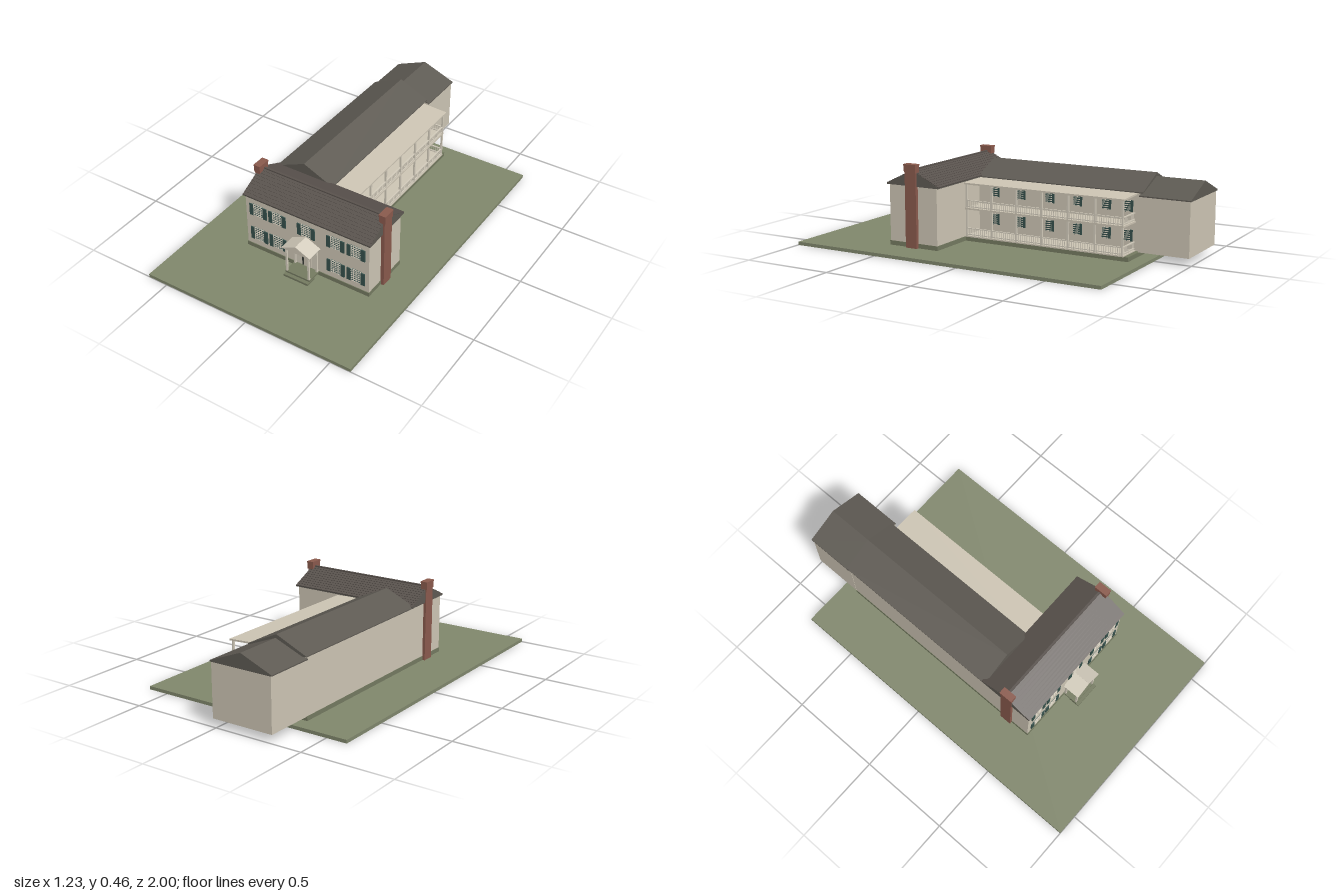
import * as THREE from 'three';
import { mergeGeometries } from 'three/addons/utils/BufferGeometryUtils.js';

const paint = (name, color) => {
  const m = new THREE.MeshStandardMaterial({ color });
  m.name = name;
  return m;
};

export function createModel() {
  const root = new THREE.Group();
  root.name = 'house';
  const lawn = paint('lawn green', 0x80876c);
  const base = paint('foundation green', 0x747a60);
  const cream = paint('cream', 0xcdc5b4);
  const trim = paint('trim cream', 0xd3ccbc);
  const slate = paint('roof slate', 0x5e5a53);
  const shingle = paint('shingle brown grey', 0x59524d);
  const brick = paint('brick', 0x8a5a4d);
  const teal = paint('shutter teal', 0x35504b);
  const glass = paint('window glass', 0x44605c);
  const dark = paint('door shadow', 0x3a3d38);

  const add = (name, geo, mat, parent = root) => {
    const m = new THREE.Mesh(geo, mat);
    m.name = name;
    parent.add(m);
    return m;
  };
  // Box given by its limits on each axis
  const box = (x0, x1, y0, y1, z0, z1) =>
    new THREE.BoxGeometry(x1 - x0, y1 - y0, z1 - z0)
      .translate((x0 + x1) / 2, (y0 + y1) / 2, (z0 + z1) / 2);
  const addBoxes = (name, mat, list, parent) =>
    add(name, mergeGeometries(list.map(b => box(...b))), mat, parent);
  // Gabled prism running along z, with a thin straight eave
  const prism = (x0, x1, ridgeX, y0, eave, ridge, z0, z1) => {
    const s = new THREE.Shape([[x0, y0], [x1, y0], [x1, eave], [ridgeX, ridge], [x0, eave]]
      .map(p => new THREE.Vector2(...p)));
    return new THREE.ExtrudeGeometry(s, { depth: z1 - z0, bevelEnabled: false }).translate(0, 0, z0);
  };

  add('ground', box(-0.615, 0.615, 0, 0.018, -0.8, 1), lawn);

  // Main house
  add('mainFoundation', box(-0.332, 0.422, 0.016, 0.042, 0.234, 0.534), base);
  add('mainWalls', box(-0.33, 0.42, 0.042, 0.35, 0.236, 0.53), cream);
  add('mainRoof', prism(-0.16, 0.16, 0, 0.346, 0.352, 0.43, -0.34, 0.43)
    .rotateY(Math.PI / 2).translate(0, 0, 0.38), slate);

  // Overlapping shingle courses on both main slopes
  const courses = [], rows = 10, pitch = Math.atan2(0.078, 0.16);
  for (const side of [1, -1]) {
    for (let i = 0; i < rows; i++) {
      const t = (i + 0.5) / rows;
      courses.push(new THREE.BoxGeometry(0.768, 0.004, 0.0195)
        .rotateX(side * (pitch - 0.1))
        .translate(0.045, 0.353 + 0.078 * t, 0.38 + side * 0.16 * (1 - t)));
    }
  }
  add('mainShingles', mergeGeometries(courses), shingle);
  add('mainRidgeCap', box(-0.32, 0.41, 0.428, 0.437, 0.374, 0.386), shingle);

  // Chimneys at both gable ends
  for (const [x, name] of [[-0.331, 'rightChimney'], [0.425, 'leftChimney']]) {
    addBoxes(name, brick, [
      [x - 0.014, x + 0.014, 0.016, 0.455, 0.353, 0.421],
      [x - 0.018, x + 0.018, 0.42, 0.455, 0.351, 0.423],
      [x - 0.02, x + 0.02, 0.455, 0.463, 0.349, 0.425],
    ]);
  }

  // Shuttered sash windows on the front
  const frontWindow = (x, y, h) => {
    const g = new THREE.Group();
    g.name = 'frontWindow';
    g.position.set(x, y, 0.53);
    root.add(g);
    add('pane', box(-0.03, 0.03, -h, h, 0, 0.002), glass, g);
    const bars = [];
    for (let i = 0; i <= 4; i++) {
      const bx = -0.028 + i * 0.014;
      bars.push([bx - 0.0016, bx + 0.0016, -h, h, 0.001, 0.004]);
    }
    for (let i = 0; i <= 6; i++) {
      const by = -h + 0.002 + (i / 6) * (2 * h - 0.004);
      bars.push([-0.03, 0.03, by - 0.0016, by + 0.0016, 0.001, 0.0045]);
    }
    addBoxes('muntins', trim, bars, g);
    const leaves = [];
    for (const s of [-1, 1]) {
      leaves.push([s * 0.0415 - 0.0115, s * 0.0415 + 0.0115, -h, h - 0.004, 0, 0.006]);
    }
    addBoxes('shutters', teal, leaves, g);
  };
  for (const x of [-0.252, -0.133, 0.045, 0.223, 0.344]) {
    frontWindow(x, 0.272, 0.037);
    if (x !== 0.045) frontWindow(x, 0.117, 0.04);
  }

  // Front door and portico
  addBoxes('doorSurround', trim, [[-0.02, 0.11, 0.042, 0.19, 0.529, 0.533]]);
  addBoxes('doorGlazing', dark, [
    [0.018, 0.028, 0.044, 0.166, 0.531, 0.535], [0.018, 0.074, 0.155, 0.166, 0.531, 0.535],
  ]);
  add('doorLeaf', box(0.03, 0.074, 0.044, 0.153, 0.531, 0.537), cream);
  add('porticoPediment', prism(-0.036, 0.126, 0.045, 0.188, 0.194, 0.232, 0.53, 0.622), cream);
  for (const s of [-1, 1]) {
    add('porticoCornice', new THREE.BoxGeometry(0.096, 0.005, 0.096)
      .rotateZ(-s * Math.atan2(0.038, 0.081)).translate(0.045 + s * 0.042, 0.214, 0.58), trim);
  }
  const posts = [];
  for (const x of [-0.022, 0.112]) {
    for (const z of [0.54, 0.612]) posts.push([x - 0.005, x + 0.005, 0.038, 0.19, z - 0.005, z + 0.005]);
  }
  addBoxes('porticoPosts', trim, posts);
  addBoxes('frontSteps', base, [
    [-0.03, 0.12, 0.032, 0.042, 0.53, 0.618], [-0.03, 0.12, 0.018, 0.03, 0.575, 0.636],
  ]);

  // Long rear wing
  add('wingFoundation', box(-0.332, 0.146, 0.016, 0.042, -0.72, 0.24), base);
  add('wingWalls', box(-0.33, 0, 0.042, 0.35, -0.73, 0.24), cream);
  add('wingRoof', prism(-0.34, 0.01, -0.165, 0.345, 0.35, 0.428, -0.735, 0.24), slate);

  // Rear block
  add('rearWalls', box(-0.332, 0.022, 0.042, 0.335, -0.995, -0.72), cream);
  add('rearRoof', prism(-0.34, 0.028, -0.16, 0.33, 0.336, 0.409, -1, -0.722), slate);

  // Two-storey gallery along the wing
  const gallery = new THREE.Group();
  gallery.name = 'gallery';
  root.add(gallery);
  const galleryRoof = box(0, 0.155, 0.335, 0.344, -0.7, 0.236);
  const p = galleryRoof.attributes.position;
  for (let i = 0; i < p.count; i++) if (p.getX(i) > 0.1) p.setY(i, p.getY(i) - 0.008);
  galleryRoof.computeVertexNormals();
  add('galleryRoof', galleryRoof, cream, gallery);
  addBoxes('galleryFloors', cream, [
    [0, 0.148, 0.04, 0.047, -0.695, 0.236], [0, 0.148, 0.19, 0.199, -0.695, 0.236],
  ], gallery);
  const columns = [];
  for (const z of [0.228, 0.075, -0.075, -0.227, -0.38, -0.533, -0.686]) {
    columns.push([0.137, 0.147, 0.045, 0.332, z - 0.005, z + 0.005]);
  }
  addBoxes('galleryPosts', trim, columns, gallery);
  const rails = [];
  for (const y of [0.045, 0.197]) {
    for (const r of [0.007, 0.04]) {
      rails.push([0.138, 0.146, y + r, y + r + 0.005, -0.69, 0.232]);
      rails.push([0, 0.146, y + r, y + r + 0.005, -0.69, -0.682]);
    }
    for (let z = -0.674; z < 0.225; z += 0.013) {
      rails.push([0.1405, 0.1435, y, y + 0.042, z - 0.0015, z + 0.0015]);
    }
    for (let x = 0.012; x < 0.135; x += 0.013) {
      rails.push([x - 0.0015, x + 0.0015, y, y + 0.042, -0.6875, -0.6845]);
    }
  }
  addBoxes('galleryRailings', trim, rails, gallery);

  // Wing windows behind the gallery
  const panes = [], slats = [];
  for (const z of [0.134, -0.027, -0.2, -0.364, -0.53, -0.653]) {
    for (const y of [0.09, 0.243]) {
      panes.push([0, 0.003, y, y + 0.06, z - 0.025, z + 0.025]);
      for (let i = 0; i < 6; i++) {
        const sy = y + 0.001 + i * 0.011;
        slats.push([0.001, 0.005, sy, sy + 0.004, z - 0.012, z + 0.025]);
      }
    }
  }
  addBoxes('wingWindows', teal, panes);
  addBoxes('wingWindowBars', trim, slats);

  return root;
}
